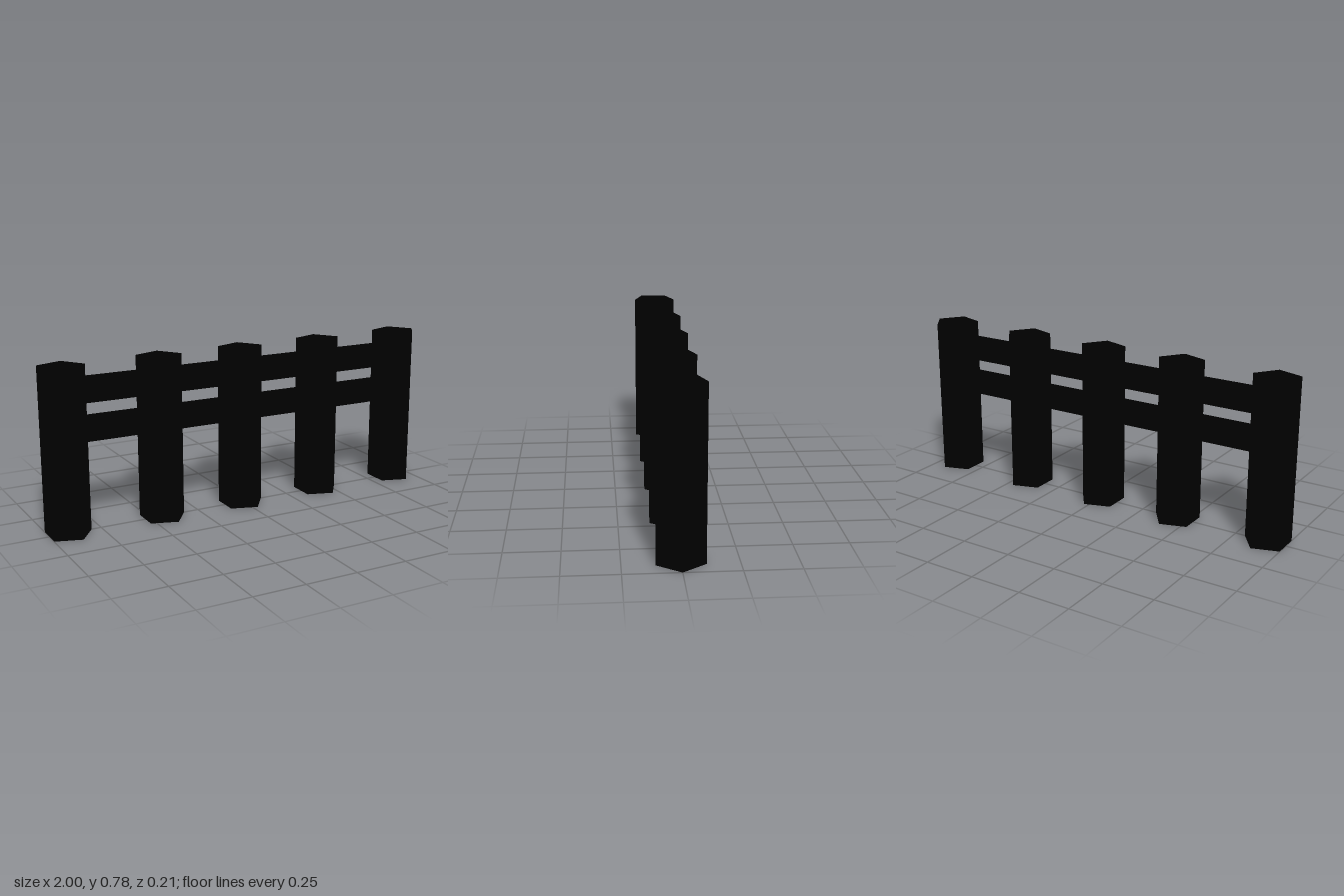
import * as THREE from 'three';

const HEIGHT = 0.783;
const POST_RADIUS = 0.112;
const POST_X = [-0.909, -0.436, -0.01, 0.428, 0.888];

export function createModel() {
  const fence = new THREE.Group();
  fence.name = 'fence';
  const material = new THREE.MeshStandardMaterial({ color: 0x000000, flatShading: true });

  // Five-sided posts, each with one corner pointing along +x
  const postGeometry = new THREE.CylinderGeometry(POST_RADIUS, POST_RADIUS, HEIGHT, 5);
  postGeometry.rotateY(Math.PI / 2);
  postGeometry.translate(0, HEIGHT / 2, 0);
  POST_X.forEach((x, i) => {
    const post = new THREE.Mesh(postGeometry, material);
    post.name = `post${i + 1}`;
    post.position.x = x;
    fence.add(post);
  });

  // Five-sided rails, flattened front to back, with a corner pointing down
  const railLength = POST_X[4] - POST_X[0];
  const railGeometry = new THREE.CylinderGeometry(0.067, 0.067, railLength, 5);
  railGeometry.rotateX(Math.PI / 2); // axis along z, first corner down
  railGeometry.rotateY(Math.PI / 2); // axis along x
  railGeometry.scale(1, 1, 0.745);
  [['lowerRail', 0.485], ['upperRail', 0.666]].forEach(([name, y]) => {
    const rail = new THREE.Mesh(railGeometry, material);
    rail.name = name;
    rail.position.set((POST_X[0] + POST_X[4]) / 2, y, -0.0075);
    fence.add(rail);
  });

  return fence;
}
